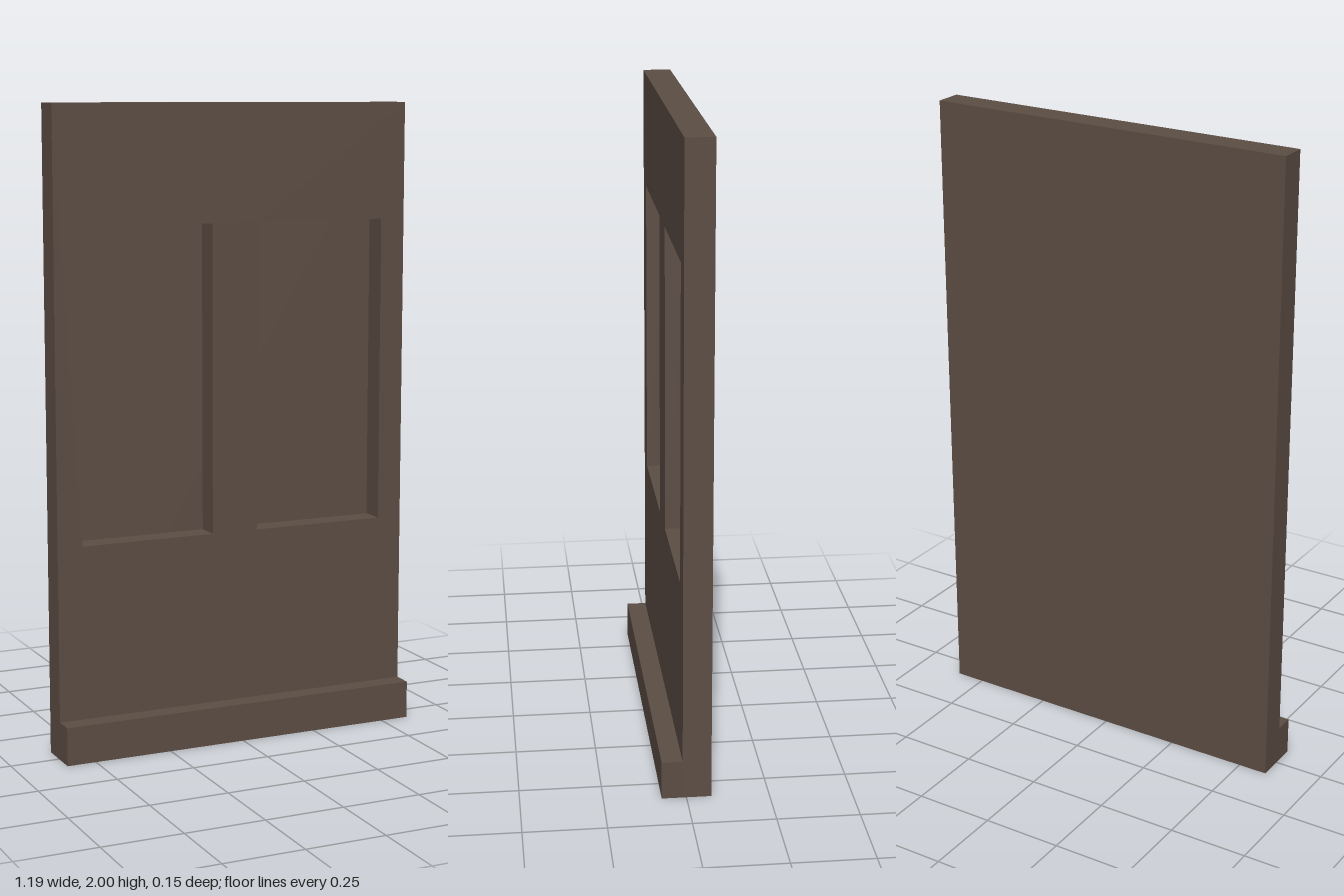
import * as THREE from 'three';

const HALF_W = 0.593, HEIGHT = 2;
const BACK = -0.075, FACE = 0.012, FRONT = 0.075;
const BACKING = 0.01; // wall left behind the recesses

function rect(path, x0, y0, x1, y1) {
  path.moveTo(x0, y0);
  path.lineTo(x1, y0);
  path.lineTo(x1, y1);
  path.lineTo(x0, y1);
  path.closePath();
  return path;
}

export function createModel() {
  const group = new THREE.Group();
  group.name = 'wallPanel';
  const wood = new THREE.MeshStandardMaterial({ color: 0x5c4d44 });
  wood.name = 'dark brown wood';

  const add = (name, geometry, x, y, z) => {
    const mesh = new THREE.Mesh(geometry, wood);
    mesh.name = name;
    mesh.position.set(x, y, z);
    group.add(mesh);
  };

  // Front frame with two mirrored rectangular recesses
  const frame = rect(new THREE.Shape(), -HALF_W, 0, HALF_W, HEIGHT);
  for (const side of [-1, 1]) {
    frame.holes.push(rect(new THREE.Path(), side * 0.077, 0.665, side * 0.512, 1.634));
  }
  const depth = FACE - BACK - BACKING;
  add('recessedFrame', new THREE.ExtrudeGeometry(frame, { depth, bevelEnabled: false }), 0, 0, BACK + BACKING);

  // Thin backing that closes the recesses
  add('backing', new THREE.BoxGeometry(HALF_W * 2, HEIGHT, BACKING), 0, HEIGHT / 2, BACK + BACKING / 2);

  // Skirting board along the foot
  const skirtH = 0.12;
  add('skirting', new THREE.BoxGeometry(HALF_W * 2, skirtH, FRONT - FACE), 0, skirtH / 2, (FRONT + FACE) / 2);

  return group;
}
